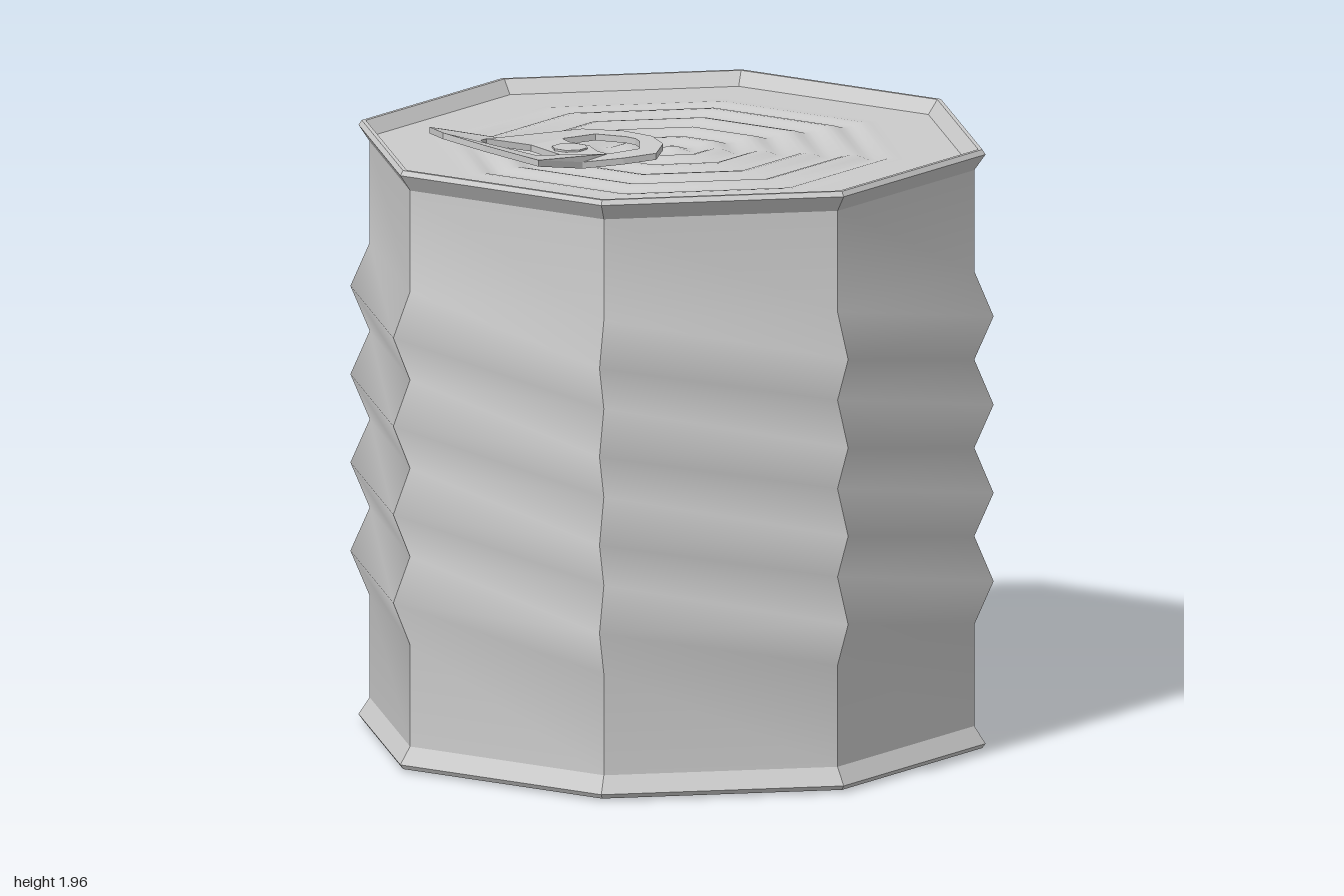
import * as THREE from 'three';
import { mergeGeometries } from 'three/addons/utils/BufferGeometryUtils.js';

const SIDES = 8;
const TAB_Z = -0.01;
const material = new THREE.MeshStandardMaterial({ color: 0xcccccc, side: THREE.DoubleSide });

const toPoints = (pairs) => pairs.map(([a, b]) => new THREE.Vector2(a, b));

function addMesh(group, name, geometry) {
  const mesh = new THREE.Mesh(geometry, material);
  mesh.name = name;
  group.add(mesh);
  return mesh;
}

// Octagonal wall: each panel is smooth vertically, with sharp upright edges
function panelWall(profile) {
  const panels = [];
  const step = (Math.PI * 2) / SIDES;
  for (let i = 0; i < SIDES; i++) {
    const panel = new THREE.LatheGeometry(toPoints(profile), 1, i * step, step);
    panel.computeVertexNormals();
    panels.push(panel);
  }
  return mergeGeometries(panels);
}

// Octagonal ring with every facet flat
function facetedRing(profile) {
  const ring = new THREE.LatheGeometry(toPoints(profile), SIDES).toNonIndexed();
  ring.computeVertexNormals();
  return ring;
}

// End plate with soft concentric ripples, listed from centre to edge
function ripplePlate(radius, y, amplitude) {
  const profile = [];
  const steps = 48;
  for (let i = 0; i <= steps; i++) {
    const r = (radius * i) / steps;
    const fade = 1 - THREE.MathUtils.smoothstep(r, 0.62, 0.74);
    profile.push([r, y + amplitude * fade * Math.cos((r / 0.14) * Math.PI * 2)]);
  }
  return profile;
}

// Height of the pull tab's underside along x: flat, then bent up to the lip
function tabHeight(x) {
  const spine = [[-0.82, 1.945], [-0.64, 1.886], [-0.43, 1.841], [-0.06, 1.847]];
  for (let i = 1; i < spine.length; i++) {
    const [x0, y0] = spine[i - 1];
    const [x1, y1] = spine[i];
    if (x <= x1 || i === spine.length - 1) return y0 + ((y1 - y0) * (x - x0)) / (x1 - x0);
  }
}

// Full loop from one half of a symmetric outline; points on the axis stay single
function mirrored(half) {
  const other = half.filter(([, z]) => z > 0).reverse().map(([x, z]) => [x, -z]);
  return toPoints([...half, ...other]);
}

function tabGeometry() {
  const shape = new THREE.Shape(mirrored([
    [-0.065, 0], [-0.095, 0.11], [-0.183, 0.21], [-0.3, 0.208],
    [-0.43, 0.183], [-0.64, 0.265], [-0.765, 0.155], [-0.815, 0],
  ]));
  // Finger opening, then the crescent around the rivet
  shape.holes.push(
    new THREE.Path(mirrored([[-0.43, 0.11], [-0.57, 0.14], [-0.63, 0.08], [-0.655, 0]])),
    new THREE.Path(mirrored([
      [-0.125, 0], [-0.135, 0.04], [-0.19, 0.125], [-0.305, 0.13], [-0.312, 0.08], [-0.29, 0],
    ])),
  );
  const geometry = new THREE.ExtrudeGeometry(shape, { depth: 0.02, bevelEnabled: false });
  geometry.rotateX(-Math.PI / 2);
  const pos = geometry.attributes.position;
  for (let i = 0; i < pos.count; i++) pos.setY(i, pos.getY(i) + tabHeight(pos.getX(i)));
  geometry.translate(0, 0, TAB_Z);
  geometry.computeVertexNormals();
  return geometry;
}

export function createModel() {
  const can = new THREE.Group();
  can.name = 'can';

  // Body with four outward ridges
  const profile = [[0.94, 0.075], [0.94, 0.39]];
  for (let i = 0; i < 4; i++) {
    const y = 0.39 + i * 0.274;
    profile.push([1, y + 0.137], [0.94, y + 0.274]);
  }
  profile.push([0.94, 1.8]);
  addMesh(can, 'body', panelWall(profile));

  // Rolled rims
  addMesh(can, 'bottomRim', facetedRing([[0.95, 0.008], [0.965, 0.008], [0.975, 0.022], [0.94, 0.075]]));
  addMesh(can, 'topRim', facetedRing([
    [0.94, 1.8], [0.975, 1.85], [0.965, 1.865], [0.952, 1.865], [0.92, 1.822],
  ]));

  // End plates
  addMesh(can, 'base', new THREE.LatheGeometry(toPoints(ripplePlate(0.95, 0.008, 0.008)), SIDES));
  const lid = ripplePlate(0.92, 1.822, 0.008).reverse();
  addMesh(can, 'lid', new THREE.LatheGeometry(toPoints(lid), SIDES));

  // Pull tab and its rivet
  addMesh(can, 'pullTab', tabGeometry());
  const rivet = addMesh(can, 'rivet', new THREE.CylinderGeometry(0.055, 0.055, 0.055, 8).toNonIndexed());
  rivet.geometry.computeVertexNormals();
  rivet.position.set(-0.36, 1.84, TAB_Z);

  return can;
}
